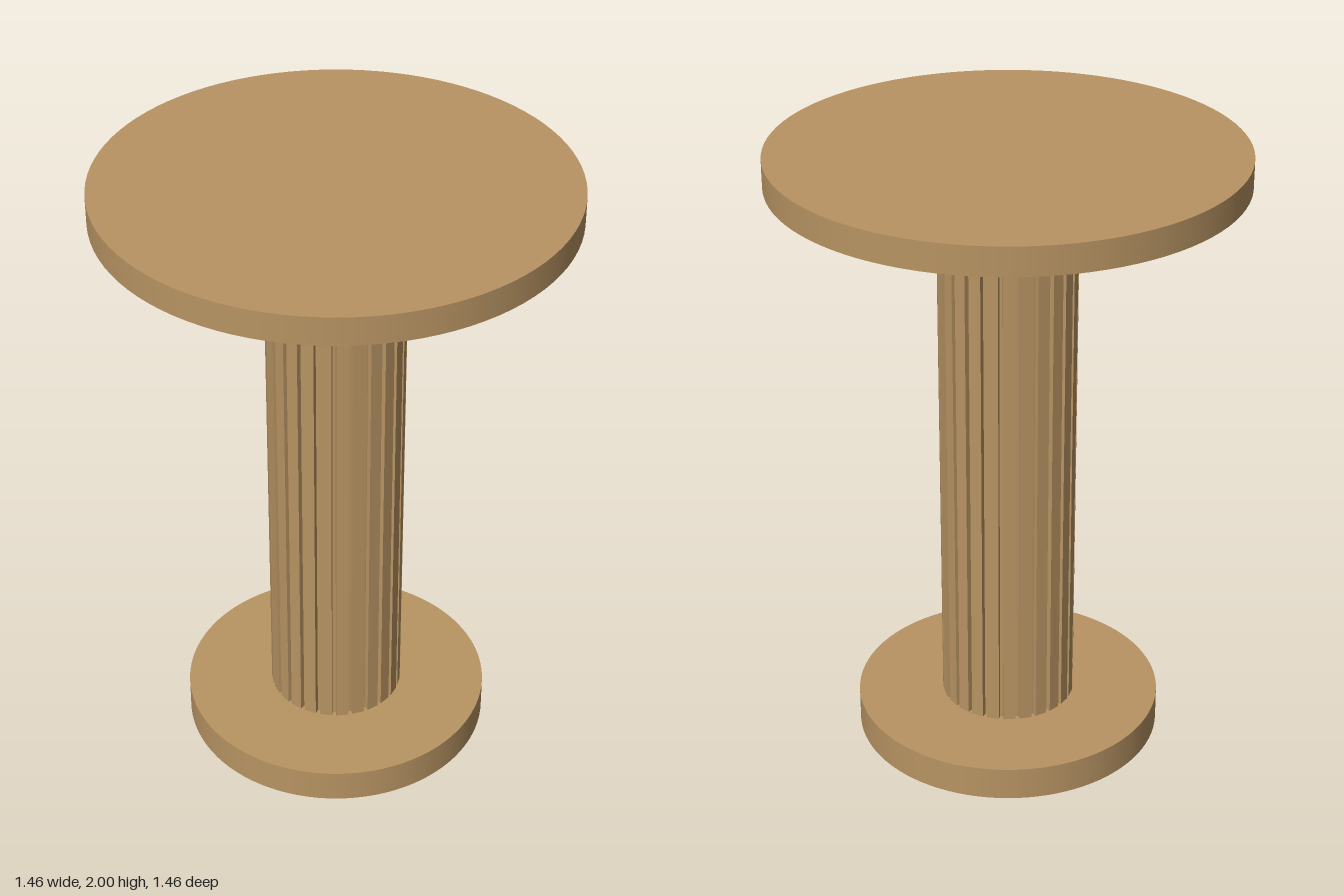
import * as THREE from 'three';

const wood = new THREE.MeshStandardMaterial({ color: 0xb89463 });

// Upright disc or post between two heights
function disc(name, radius, bottom, top) {
  const geometry = new THREE.CylinderGeometry(radius, radius, top - bottom, 96);
  const mesh = new THREE.Mesh(geometry, wood);
  mesh.name = name;
  mesh.position.y = (bottom + top) / 2;
  return mesh;
}

export function createModel() {
  const table = new THREE.Group();
  table.name = 'pedestalTable';

  table.add(
    disc('base', 0.495, 0, 0.11),
    disc('columnCore', 0.2, 0.11, 1.91),
    disc('tableTop', 0.73, 1.91, 2)
  );

  // Ring of narrow vertical slats around the column
  const slats = new THREE.Group();
  slats.name = 'columnSlats';
  const count = 25;
  const slatGeometry = new THREE.BoxGeometry(0.03, 1.78, 0.04);
  for (let i = 0; i < count; i++) {
    const angle = (i / count) * Math.PI * 2;
    const slat = new THREE.Mesh(slatGeometry, wood);
    slat.name = 'slat';
    slat.position.set(Math.cos(angle) * 0.201, 1.0, Math.sin(angle) * 0.201);
    slat.rotation.y = -angle;
    slats.add(slat);
  }
  table.add(slats);
  return table;
}
